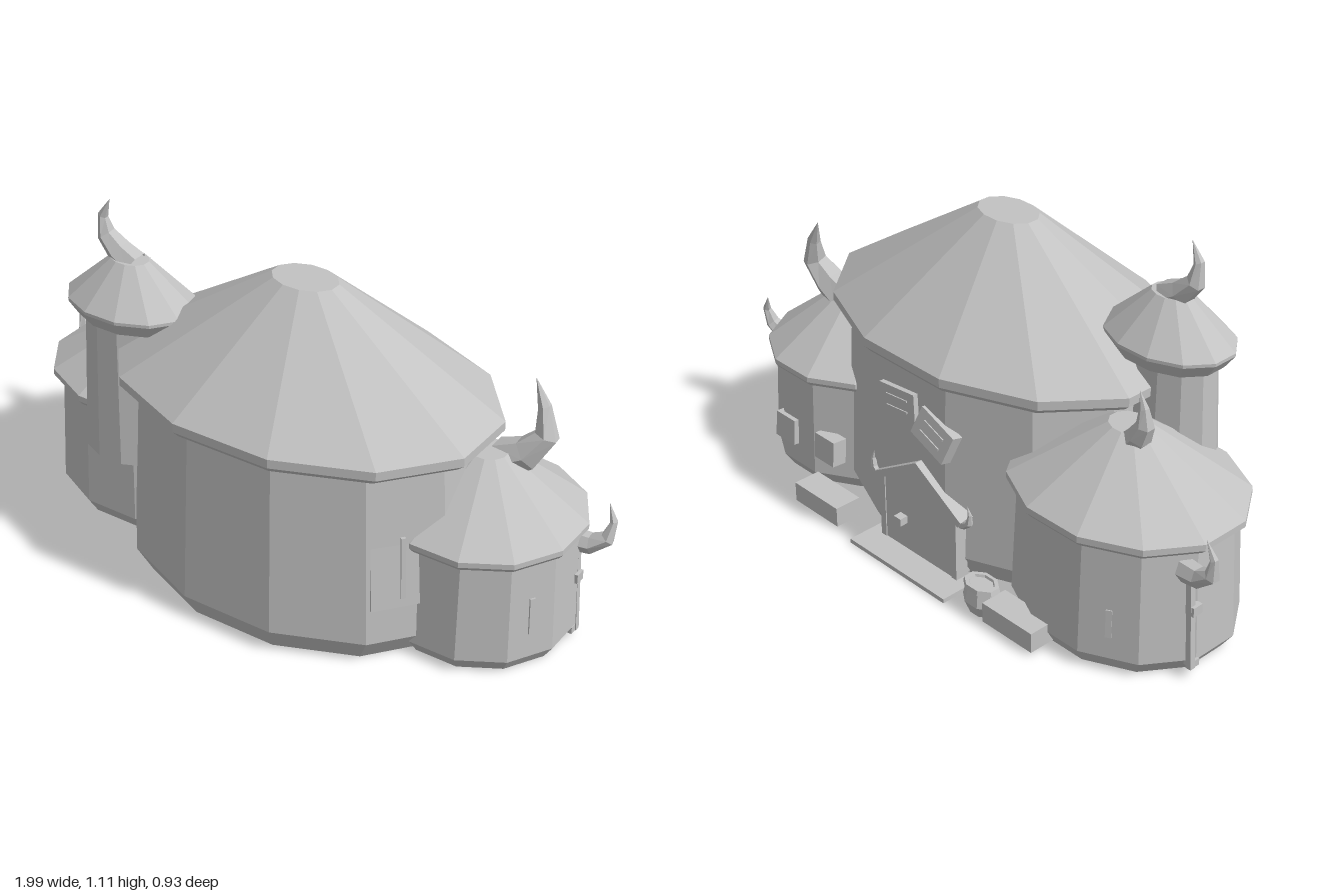
import * as THREE from 'three';

const stone = new THREE.MeshStandardMaterial({ color: 0xc2c2c2, side: THREE.DoubleSide });
stone.name = 'paleStone';

export function createModel() {
  const root = new THREE.Group();
  root.name = 'hornedHall';

  const add = (name, geometry, parent = root) => {
    const g = geometry.index ? geometry.toNonIndexed() : geometry;
    g.computeVertexNormals(); // crisp facets
    const m = new THREE.Mesh(g, stone);
    m.name = name;
    parent.add(m);
    return m;
  };
  const box = (name, w, h, d, x, y, z, rx = 0, ry = 0, rz = 0, parent = root) => {
    const m = add(name, new THREE.BoxGeometry(w, h, d), parent);
    m.position.set(x, y, z);
    m.rotation.set(rx, ry, rz);
    return m;
  };
  // Twelve-sided oval shell; the profile radius is a fraction of the half extents
  const oval = (name, x, z, halfX, halfZ, profile) => {
    const g = new THREE.LatheGeometry(profile.map(p => new THREE.Vector2(...p)), 12, Math.PI / 12);
    const k = 1 / Math.cos(Math.PI / 12);
    g.scale(halfX * k, 1, halfZ * k);
    g.translate(x, 0, z);
    return add(name, g);
  };
  // Curved horn: a tube narrowed to a point
  const horn = (name, radius, points) => {
    const curve = new THREE.CatmullRomCurve3(points.map(p => new THREE.Vector3(...p)));
    const n = 4, sides = 6;
    const g = new THREE.TubeGeometry(curve, n, radius, sides, false);
    const pos = g.attributes.position, v = new THREE.Vector3();
    for (let i = 0; i <= n; i++) {
      const c = curve.getPointAt(i / n);
      const s = Math.max(0.01, 1 - Math.pow(i / n, 1.5));
      for (let j = 0; j <= sides; j++) {
        const k = i * (sides + 1) + j;
        v.fromBufferAttribute(pos, k).sub(c).multiplyScalar(s).add(c);
        pos.setXYZ(k, v.x, v.y, v.z);
      }
    }
    return add(name, g);
  };

  // Main hall, open underneath
  oval('hallWall', 0.07, 0.04, 0.565, 0.405, [[0.91, 0], [1, 0.075], [0.94, 0.66]]);
  oval('hallRoof', 0.07, 0.04, 0.6, 0.422,
    [[0.84, 0.635], [0.96, 0.635], [1, 0.655], [1, 0.683], [0.17, 1.007], [0, 1.007]]);

  // Small round tower (+x)
  oval('leftTowerWall', 0.632, -0.06, 0.28, 0.28, [[0.9, 0], [1, 0.045], [0.95, 0.39]]);
  oval('leftTowerRoof', 0.632, -0.06, 0.29, 0.292,
    [[0.86, 0.365], [0.96, 0.365], [1, 0.38], [1, 0.397], [0.19, 0.585], [0, 0.585]]);

  // Larger oval tower (-x)
  oval('rightTowerWall', -0.56, -0.098, 0.345, 0.288, [[0.9, 0], [1, 0.05], [0.95, 0.43]]);
  oval('rightTowerRoof', -0.56, -0.098, 0.36, 0.302,
    [[0.86, 0.41], [0.96, 0.41], [1, 0.425], [1, 0.445], [0.18, 0.63], [0, 0.63]]);

  // Tall turret
  oval('turretWall', -0.513, 0.12, 0.158, 0.12, [[1, 0.283], [0.86, 0.78]]);
  oval('turretRoof', -0.497, 0.12, 0.206, 0.153,
    [[0.5, 0.75], [0.84, 0.75], [1, 0.795], [1, 0.805], [0.3, 0.935], [0, 0.935]]);

  // Roof and wall horns
  horn('turretHorn', 0.045, [[-0.48, 0.915, 0.12], [-0.54, 0.95, 0.12], [-0.592, 1.02, 0.125], [-0.558, 1.11, 0.127]]);
  horn('leftRoofHorn', 0.058, [[0.65, 0.54, -0.105], [0.72, 0.575, -0.11], [0.775, 0.65, -0.13], [0.715, 0.8, -0.155]]);
  horn('rightRoofHorn', 0.042, [[-0.59, 0.59, -0.125], [-0.63, 0.64, -0.13], [-0.65, 0.69, -0.135], [-0.63, 0.78, -0.14]]);
  horn('leftWallHorn', 0.036, [[0.87, 0.32, -0.15], [0.945, 0.328, -0.155], [0.983, 0.38, -0.17], [0.958, 0.455, -0.185]]);
  horn('rightWallHorn', 0.036, [[-0.87, 0.35, -0.2], [-0.95, 0.365, -0.21], [-0.988, 0.42, -0.215], [-0.957, 0.5, -0.22]]);

  // Posts with brackets below the wall horns
  for (const [s, z, y] of [[1, -0.135, 0], [-1, -0.2, 0.015]]) {
    box('wallPost', 0.018, 0.34, 0.018, s * 0.898, 0.19 + y, z, 0, 0, s * 0.05);
    box('upperBracket', 0.03, 0.03, 0.035, s * 0.9, 0.215 + y, z + 0.01);
    box('lowerBracket', 0.03, 0.022, 0.03, s * 0.897, 0.03 + y, z + 0.015);
  }

  // Nearly flush side window on the hall
  const win = new THREE.Group();
  win.name = 'sideWindow';
  win.position.set(0.54, 0.325, 0.245);
  win.rotation.y = 0.894;
  root.add(win);
  box('windowPanel', 0.19, 0.27, 0.01, 0, 0, -0.002, -0.089, 0, 0, win);
  box('windowBar', 0.014, 0.2, 0.02, 0, -0.005, 0.002, -0.06, 0, 0, win);

  // Narrow slits on the towers
  const slit = (x, y, z, h, angle) => {
    const g = new THREE.Group();
    g.name = 'towerSlit';
    g.position.set(x, y, z);
    g.rotation.y = angle;
    root.add(g);
    box('slit', 0.018, h, 0.014, 0, 0, 0, -0.04, 0, 0, g);
  };
  slit(0.868, 0.185, 0.077, 0.12, Math.PI / 3);
  slit(-0.728, 0.165, -0.341, 0.09, Math.PI * 7 / 6);

  // Window boxes at the back of the small tower
  box('backWindow', 0.09, 0.085, 0.05, 0.495, 0.157, -0.322, 0.08);
  box('backWindow', 0.09, 0.085, 0.05, 0.68, 0.157, -0.328, 0.08);

  // Gabled doorway
  const door = add('door', new THREE.ExtrudeGeometry(new THREE.Shape(
    [[-0.155, 0], [0.155, 0], [0.155, 0.215], [0, 0.31], [-0.155, 0.215]].map(p => new THREE.Vector2(...p))),
  { depth: 0.07, bevelEnabled: false }));
  door.position.set(0.025, 0.01, -0.372);
  for (const s of [-1, 1]) {
    box('doorGableBeam', 0.225, 0.024, 0.05, 0.025 + s * 0.089, 0.278, -0.353, 0, 0, -s * 0.55);
    box('doorPost', 0.022, 0.22, 0.045, 0.025 + s * 0.157, 0.12, -0.353);
    horn('doorHorn', 0.018, [[0.025 + s * 0.155, 0.215, -0.355], [0.025 + s * 0.195, 0.215, -0.358],
      [0.025 + s * 0.215, 0.245, -0.36], [0.025 + s * 0.205, 0.29, -0.362]]);
  }
  box('doorHandle', 0.03, 0.025, 0.03, 0.09, 0.12, -0.385);
  box('doorStep', 0.42, 0.014, 0.125, 0.025, 0.007, -0.4025);

  // Tilted sign boards above the door
  const sign = (x, y, z, rx, rz) => {
    const g = new THREE.Group();
    g.name = 'signBoard';
    g.position.set(x, y, z);
    g.rotation.set(rx, 0, rz);
    root.add(g);
    box('board', 0.15, 0.095, 0.036, 0, 0, 0, 0, 0, 0, g);
    for (const yy of [-0.018, 0.018]) box('slat', 0.09, 0.006, 0.006, 0, yy, -0.019, 0, 0, 0, g);
  };
  sign(0.115, 0.505, -0.346, 0.05, -0.1);
  sign(-0.045, 0.468, -0.356, 0.25, 0.3);

  // Benches and pot by the back wall
  for (const x of [0.415, -0.435]) box('bench', 0.2, 0.065, 0.09, x, 0.043, -0.405);
  const pot = add('pot', new THREE.LatheGeometry(
    [[0, 0], [0.045, 0], [0.066, 0.04], [0.055, 0.08], [0.064, 0.085], [0.06, 0.1], [0.045, 0.1], [0.042, 0.092], [0, 0.092]]
      .map(p => new THREE.Vector2(...p)), 8, Math.PI / 8));
  pot.scale.z = 0.72;
  pot.position.set(-0.285, 0, -0.405);

  return root;
}
